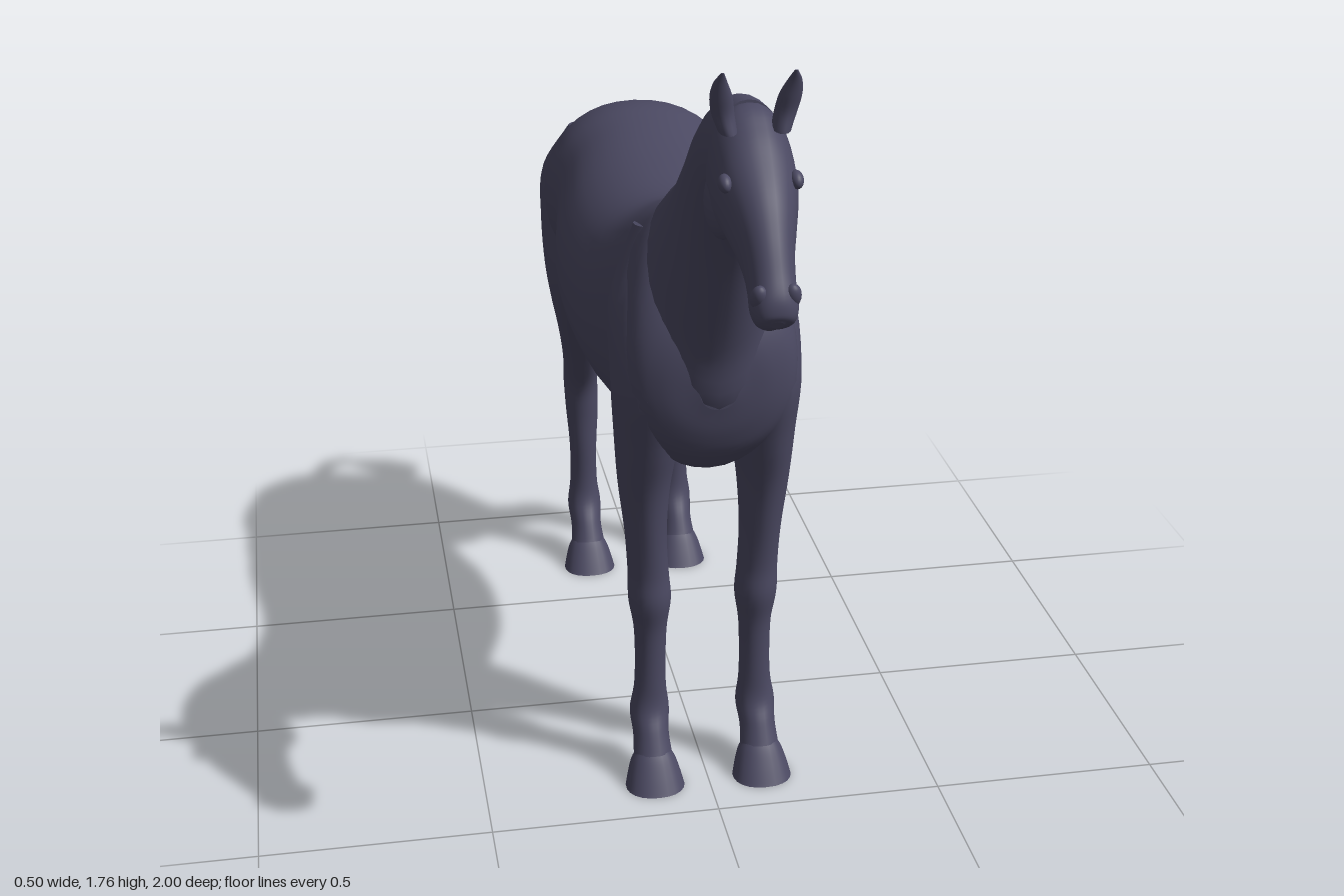
import * as THREE from 'three';

const coat = new THREE.MeshStandardMaterial({ color: 0x4b4962 });
coat.name = 'dark slate coat';

// Smooth closed skin through sections [z1, y1, z2, y2, halfWidth, centreX]:
// each section is an oval between two profile points of the side outline.
function loft(name, sections, { steps = 5, sides = 28, power = 1 } = {}) {
  const curve = f => new THREE.CatmullRomCurve3(sections.map(f), false, 'catmullrom', 0.5);
  const a = curve(s => new THREE.Vector3(0, s[1], s[0]));
  const b = curve(s => new THREE.Vector3(0, s[3], s[2]));
  const side = curve(s => new THREE.Vector3(s[4], s[5] || 0, 0));
  const rows = (sections.length - 1) * steps;
  const pos = [], idx = [];
  const bulge = v => Math.sign(v) * Math.abs(v) ** power;
  const ring = t => {
    const p = a.getPoint(t), q = b.getPoint(t), w = side.getPoint(t);
    const mid = p.clone().add(q).multiplyScalar(0.5), half = p.sub(q).multiplyScalar(0.5);
    for (let j = 0; j < sides; j++) {
      const ang = j / sides * Math.PI * 2;
      const v = mid.clone().addScaledVector(half, bulge(Math.cos(ang)));
      pos.push(w.y + w.x * bulge(Math.sin(ang)), v.y, v.z);
    }
    return [w.y, mid.y, mid.z];
  };
  for (let i = 0; i <= rows; i++) ring(i / rows);
  for (let i = 0; i < rows; i++) for (let j = 0; j < sides; j++) {
    const k = (j + 1) % sides, r = i * sides, n = r + sides;
    idx.push(r + j, n + j, r + k, r + k, n + j, n + k);
  }
  // End caps with their own vertices keep the rims crisp
  for (const t of [0, 1]) {
    const start = pos.length / 3, c = ring(t);
    pos.push(...c);
    for (let j = 0; j < sides; j++) {
      const e = [start + j, start + (j + 1) % sides];
      if (t) e.reverse();
      idx.push(e[0], e[1], start + sides);
    }
  }
  // Turn the faces outward if the enclosed volume is negative
  let vol = 0;
  const P = i => new THREE.Vector3().fromArray(pos, i * 3);
  for (let i = 0; i < idx.length; i += 3) vol += P(idx[i]).dot(P(idx[i + 1]).cross(P(idx[i + 2])));
  if (vol < 0) idx.reverse();
  const g = new THREE.BufferGeometry();
  g.setAttribute('position', new THREE.Float32BufferAttribute(pos, 3));
  g.setIndex(idx);
  g.computeVertexNormals();
  const m = new THREE.Mesh(g, coat);
  m.name = name;
  return m;
}

function ball(name, x, y, z, rx, ry, rz, tilt = 0) {
  const m = new THREE.Mesh(new THREE.SphereGeometry(1, 20, 14), coat);
  m.name = name;
  m.position.set(x, y, z);
  m.scale.set(rx, ry, rz);
  m.rotation.x = tilt;
  return m;
}

export function createModel() {
  const horse = new THREE.Group();
  horse.name = 'horse';

  horse.add(loft('torso', [
    [-0.805, 1.13, -0.805, 1.05, 0.04],
    [-0.79, 1.2, -0.79, 0.97, 0.12],
    [-0.74, 1.25, -0.74, 0.88, 0.18],
    [-0.65, 1.29, -0.64, 0.86, 0.22],
    [-0.52, 1.318, -0.52, 0.87, 0.232],
    [-0.4, 1.31, -0.4, 0.885, 0.222],
    [-0.2, 1.28, -0.2, 0.79, 0.25],
    [0, 1.265, 0, 0.745, 0.23],
    [0.17, 1.32, 0.18, 0.752, 0.185],
    [0.3, 1.34, 0.35, 0.765, 0.18],
    [0.41, 1.21, 0.425, 0.82, 0.175],
    [0.46, 1.12, 0.455, 0.88, 0.12],
    [0.475, 1.03, 0.47, 0.95, 0.04],
  ], { sides: 40, power: 0.93 }));

  horse.add(loft('neck', [
    [0.02, 1.26, 0.36, 0.86, 0.12],
    [0.2, 1.36, 0.465, 0.94, 0.14],
    [0.32, 1.43, 0.495, 1.07, 0.115],
    [0.42, 1.522, 0.55, 1.21, 0.094],
    [0.52, 1.61, 0.605, 1.33, 0.086],
    [0.62, 1.663, 0.665, 1.42, 0.08],
    [0.72, 1.68, 0.73, 1.46, 0.07],
  ]));

  horse.add(loft('head', [
    [0.67, 1.66, 0.655, 1.53, 0.045],
    [0.735, 1.675, 0.69, 1.43, 0.076],
    [0.79, 1.645, 0.74, 1.415, 0.08],
    [0.84, 1.603, 0.79, 1.42, 0.075],
    [0.895, 1.55, 0.845, 1.4, 0.06],
    [0.938, 1.49, 0.88, 1.375, 0.048],
    [0.97, 1.437, 0.905, 1.355, 0.044],
    [0.994, 1.395, 0.935, 1.33, 0.044],
    [1.0, 1.365, 0.965, 1.325, 0.034],
    [0.995, 1.35, 0.985, 1.335, 0.012],
  ], { power: 0.92 }));
  horse.add(ball('chin', 0, 1.335, 0.922, 0.032, 0.027, 0.033));

  // Tail root bending down into a hair tuft
  horse.add(loft('tail', [
    [-0.74, 1.23, -0.74, 1.17, 0.025],
    [-0.8, 1.21, -0.79, 1.165, 0.022],
    [-0.88, 1.17, -0.86, 1.135, 0.018],
    [-0.93, 1.1, -0.9, 1.08, 0.018],
    [-0.955, 1.0, -0.908, 1.0, 0.024],
    [-0.98, 0.9, -0.905, 0.9, 0.032],
    [-0.998, 0.835, -0.905, 0.828, 0.036],
  ], { sides: 14 }));
  for (let i = 0; i < 5; i++) {
    const z = -0.915 - i * 0.018, x = (i % 2 ? 1 : -1) * 0.022;
    horse.add(loft('tailStrand', [
      [-0.925, 1.02, -0.912, 1.02, 0.008, x * 0.4],
      [z - 0.008, 0.92, z + 0.01, 0.92, 0.014, x],
      [z - 0.007, 0.828, z + 0.007, 0.828, 0.011, x * 1.1],
    ], { sides: 8 }));
  }

  for (const s of [1, -1]) {
    const mirror = list => list.map(([a, b, c, d, w, x]) => [a, b, c, d, w, x * s]);
    const tag = s > 0 ? 'left' : 'right';

    horse.add(loft(tag + 'Ear', mirror([
      [0.8, 1.635, 0.745, 1.645, 0.018, 0.05],
      [0.795, 1.67, 0.748, 1.672, 0.021, 0.058],
      [0.801, 1.705, 0.767, 1.708, 0.021, 0.064],
      [0.808, 1.735, 0.79, 1.738, 0.013, 0.068],
      [0.815, 1.757, 0.81, 1.757, 0.003, 0.067],
    ]), { sides: 14 }));
    horse.add(ball(tag + 'Eye', 0.066 * s, 1.56, 0.835, 0.013, 0.015, 0.02, 0.5));
    horse.add(ball(tag + 'Cheek', 0.05 * s, 1.49, 0.735, 0.034, 0.07, 0.065));
    horse.add(ball(tag + 'Nostril', 0.03 * s, 1.39, 0.972, 0.017, 0.026, 0.016, 0.4));

    // Shoulder down to the front pastern
    horse.add(loft(tag + 'FrontLeg', mirror([
      [0.26, 1.28, 0.12, 1.25, 0.03, 0.1],
      [0.38, 1.15, 0.14, 1.1, 0.075, 0.12],
      [0.45, 1.0, 0.19, 0.95, 0.08, 0.122],
      [0.415, 0.84, 0.2, 0.84, 0.07, 0.125],
      [0.378, 0.72, 0.222, 0.72, 0.057, 0.13],
      [0.357, 0.6, 0.238, 0.6, 0.046, 0.127],
      [0.345, 0.5, 0.25, 0.5, 0.045, 0.122],
      [0.347, 0.43, 0.248, 0.43, 0.047, 0.119],
      [0.333, 0.35, 0.262, 0.35, 0.036, 0.118],
      [0.33, 0.23, 0.264, 0.22, 0.035, 0.119],
      [0.335, 0.165, 0.258, 0.14, 0.044, 0.121],
      [0.36, 0.12, 0.285, 0.09, 0.04, 0.122],
      [0.385, 0.075, 0.315, 0.05, 0.043, 0.122],
    ]), { sides: 22 }));

    // Haunch down to the hind pastern
    horse.add(loft(tag + 'HindLeg', mirror([
      [-0.52, 1.26, -0.73, 1.22, 0.05, 0.11],
      [-0.47, 1.13, -0.8, 1.12, 0.1, 0.125],
      [-0.43, 0.98, -0.812, 1.03, 0.103, 0.13],
      [-0.44, 0.87, -0.775, 0.9, 0.093, 0.135],
      [-0.525, 0.77, -0.728, 0.79, 0.073, 0.138],
      [-0.595, 0.68, -0.722, 0.72, 0.058, 0.136],
      [-0.665, 0.58, -0.77, 0.61, 0.046, 0.13],
      [-0.715, 0.5, -0.815, 0.525, 0.044, 0.126],
      [-0.728, 0.42, -0.81, 0.43, 0.042, 0.123],
      [-0.73, 0.32, -0.802, 0.32, 0.035, 0.122],
      [-0.732, 0.22, -0.803, 0.22, 0.035, 0.122],
      [-0.722, 0.165, -0.806, 0.14, 0.043, 0.122],
      [-0.692, 0.12, -0.77, 0.085, 0.039, 0.122],
      [-0.665, 0.075, -0.74, 0.05, 0.043, 0.122],
    ]), { sides: 22 }));

    // Hooves flare towards the ground
    for (const [part, z] of [['FrontHoof', 0], ['HindHoof', -1.053]]) {
      horse.add(loft(tag + part, mirror([
        [0.375 + z, 0.085, 0.315 + z, 0.06, 0.038, 0.122],
        [0.392 + z, 0.065, 0.312 + z, 0.045, 0.049, 0.122],
        [0.413 + z, 0.035, 0.315 + z, 0.025, 0.058, 0.122],
        [0.436 + z, 0, 0.32 + z, 0, 0.066, 0.122],
      ]), { sides: 22, power: 0.9 }));
    }
  }
  return horse;
}
